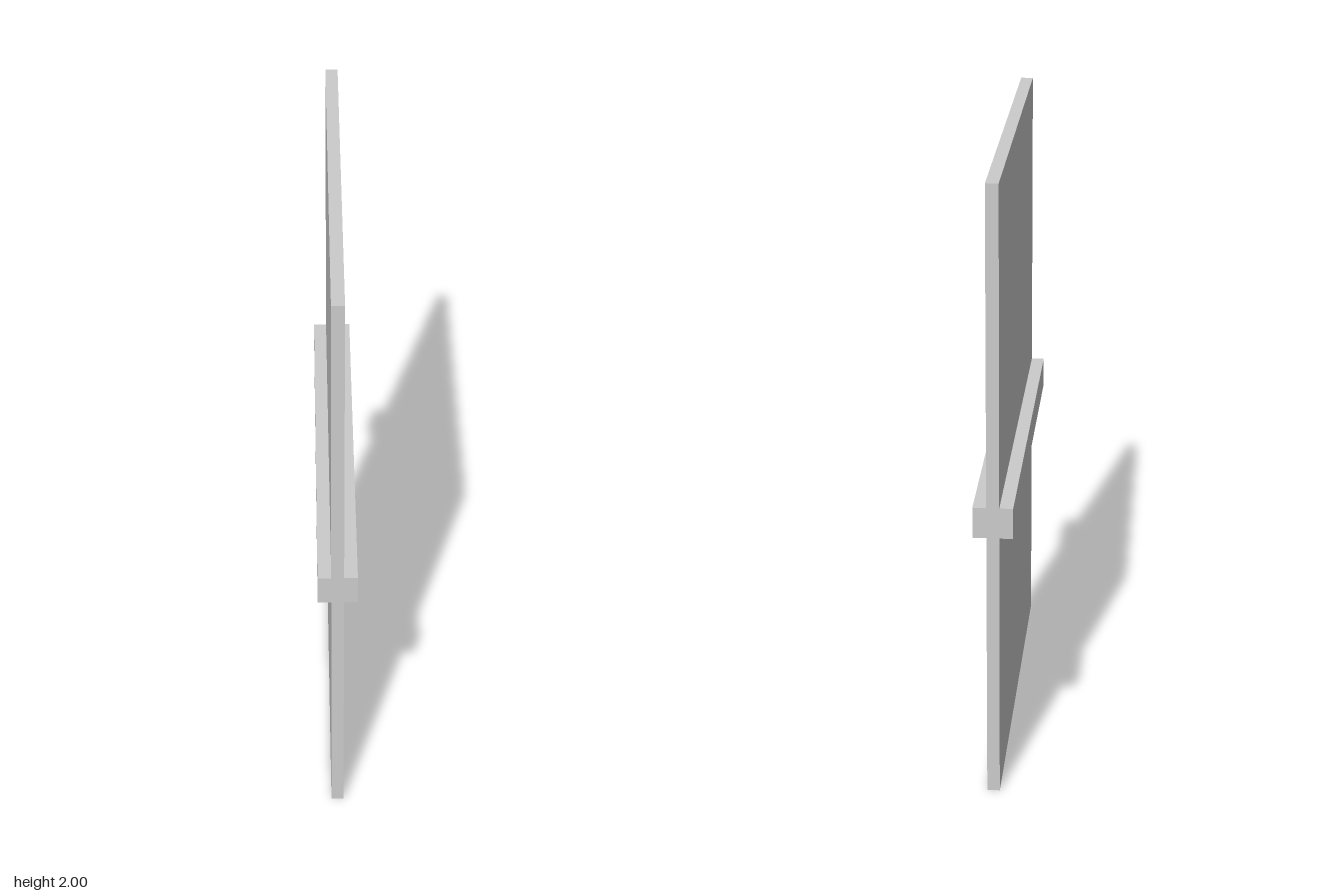
import * as THREE from 'three';

export function createModel() {
  const model = new THREE.Group();
  const material = new THREE.MeshStandardMaterial({ color: 0xcccccc, flatShading: true });
  const depth = 1.36;

  const addBox = (name, width, bottom, top, x = 0) => {
    const mesh = new THREE.Mesh(new THREE.BoxGeometry(width, top - bottom, depth), material);
    mesh.name = name;
    mesh.position.set(x, (bottom + top) / 2, 0);
    model.add(mesh);
  };

  // Thin upright slab
  const thickness = 0.04;
  addBox('panel', thickness, 0, 2);

  // Horizontal rail on each face of the slab
  const reach = 0.0625;
  const railWidth = reach - thickness / 2;
  for (const side of [1, -1]) {
    addBox(side > 0 ? 'leftRail' : 'rightRail', railWidth, 0.88, 0.98,
      side * (thickness / 2 + railWidth / 2));
  }

  return model;
}
